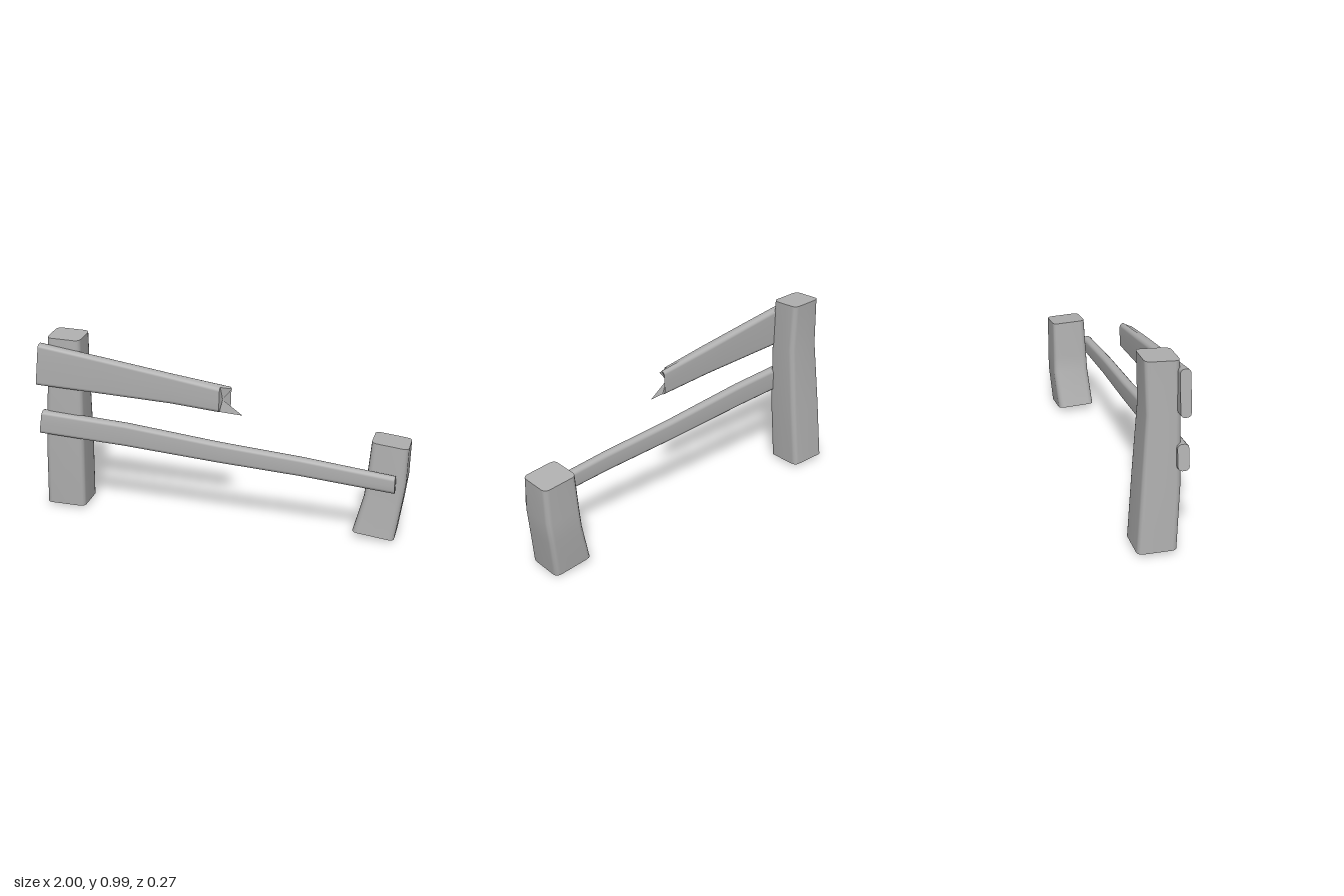
import * as THREE from 'three';

const V = (x, y, z) => new THREE.Vector3(x, y, z);

// Rounded rectangle around c, spanned by half-vectors u and v, with a point mid-way along each side
function section(c, u, v, r) {
  const pts = [], rs = r / u.length(), rt = r / v.length();
  const add = (s, t) => pts.push(c.clone().addScaledVector(u, s).addScaledVector(v, t));
  const corners = [[1, 1], [-1, 1], [-1, -1], [1, -1]];
  const mids = [[0, 1], [-1, 0], [0, -1], [1, 0]];
  corners.forEach(([s, t], k) => {
    for (let i = 0; i < 4; i++) {
      const a = (k + i / 3) * Math.PI / 2;
      add(s * (1 - rs) + Math.cos(a) * rs, t * (1 - rt) + Math.sin(a) * rt);
    }
    add(...mids[k]);
  });
  return pts;
}

// Smooth skin through the rings
function skin(rings) {
  const n = rings[0].length, index = [];
  for (let k = 0; k < rings.length - 1; k++) {
    for (let i = 0; i < n; i++) {
      const a = k * n + i, b = k * n + (i + 1) % n;
      index.push(a, b, a + n, b, b + n, a + n);
    }
  }
  const g = new THREE.BufferGeometry().setFromPoints(rings.flat());
  g.setIndex(index);
  g.computeVertexNormals();
  return g;
}

// Flat faceted fan closing one ring
function cap(ring, centre, flip) {
  const pts = [];
  ring.forEach((p, i) => {
    const q = ring[(i + 1) % ring.length];
    pts.push(centre, ...(flip ? [q, p] : [p, q]));
  });
  const g = new THREE.BufferGeometry().setFromPoints(pts);
  g.computeVertexNormals();
  return g;
}

const middle = (ring) => ring.reduce((m, p) => m.add(p), V(0, 0, 0)).divideScalar(ring.length);

function beam(name, rings, material, notch) {
  const g = new THREE.Group(), last = rings[rings.length - 1];
  g.name = name;
  const parts = {
    Sides: skin(rings),
    StartCap: cap(rings[0], middle(rings[0]), true),
    EndCap: cap(last, notch || middle(last), false),
  };
  for (const [part, geometry] of Object.entries(parts)) {
    const mesh = new THREE.Mesh(geometry, material);
    mesh.name = name + part;
    g.add(mesh);
  }
  return g;
}

// Post section: left x, y; right x, y; front z, back z; rise towards the back
const postRing = ([xl, yl, xr, yr, zf, zb, rise]) => section(
  V((xl + xr) / 2, (yl + yr) / 2, (zf + zb) / 2),
  V((xr - xl) / 2, (yr - yl) / 2, 0),
  V(0, rise / 2, (zb - zf) / 2), 0.028);

// Rail section: top x, y; bottom x, y; back z, front z
const railRing = ([xt, yt, xb, yb, z0, z1]) => section(
  V((xt + xb) / 2, (yt + yb) / 2, (z0 + z1) / 2),
  V((xt - xb) / 2, (yt - yb) / 2, 0),
  V(0, 0, (z1 - z0) / 2), 0.02);

export function createModel() {
  const model = new THREE.Group();
  model.name = 'brokenFence';
  const wood = new THREE.MeshStandardMaterial({ color: 0xb0b0b0 });
  wood.name = 'plain grey';

  // Tall post
  model.add(beam('tallPost', [
    [-0.99, 0.023, -0.77, 0.018, 0.088, -0.113, 0],
    [-0.975, 0.36, -0.758, 0.36, 0.105, -0.09, 0],
    [-0.952, 0.73, -0.753, 0.73, 0.105, -0.064, 0],
    [-0.94, 0.993, -0.758, 0.987, 0.098, -0.073, 0.008],
  ].map(postRing), wood));

  // Short leaning post
  model.add(beam('shortPost', [
    [0.723, 0.036, 0.945, 0.008, 0.087, -0.118, -0.01],
    [0.775, 0.24, 0.975, 0.21, 0.07, -0.134, -0.005],
    [0.785, 0.34, 0.99, 0.33, 0.066, -0.132, 0],
    [0.802, 0.543, 0.995, 0.52, 0.057, -0.129, -0.008],
  ].map(postRing), wood));

  // Lower rail
  model.add(beam('lowerRail', [
    [-0.975, 0.58, -0.995, 0.45, 0.078, 0.135],
    [-0.5, 0.545, -0.51, 0.42, 0.076, 0.133],
    [0, 0.487, -0.005, 0.377, 0.076, 0.131],
    [0.45, 0.447, 0.445, 0.346, 0.077, 0.13],
    [0.94, 0.39, 0.94, 0.298, 0.077, 0.127],
  ].map(railRing), wood));

  // Upper rail, snapped off with a splinter above and below a notch
  const upper = [
    [-0.975, 0.96, -1, 0.727, 0.083, 0.136],
    [-0.62, 0.905, -0.62, 0.708, 0.08, 0.136],
    [-0.25, 0.846, -0.25, 0.689, 0.077, 0.136],
    [0.015, 0.8, 0.01, 0.664, 0.075, 0.135],
  ].map(railRing);
  const end = upper[upper.length - 1];
  end.forEach((p) => { if (p.z < 0.1) p.x += 0.05; });
  end[19].set(0.075, 0.792, 0.1);
  end[9].set(0.132, 0.651, 0.105);
  model.add(beam('upperRail', upper, wood, V(0.025, 0.73, 0.105)));

  return model;
}
